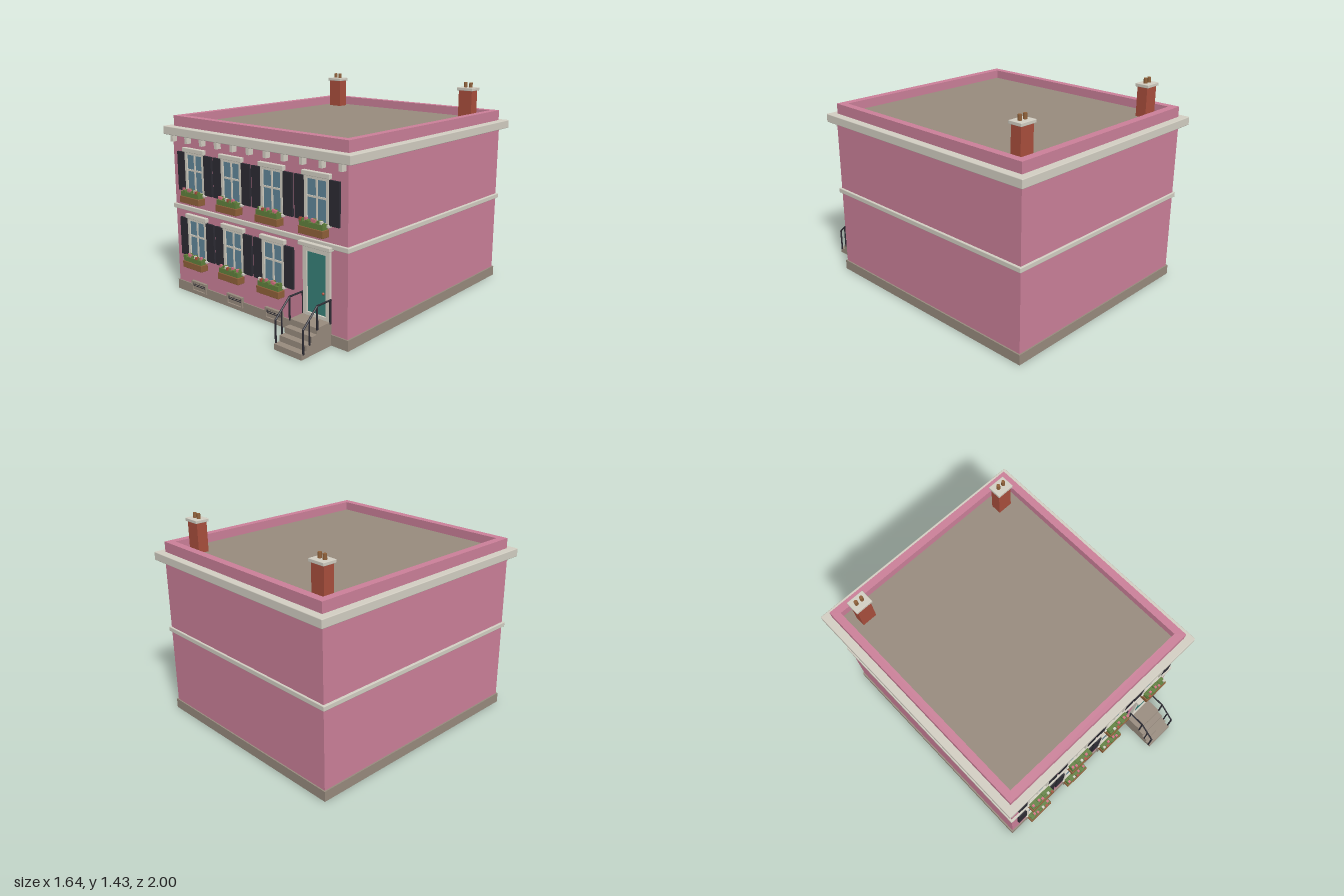
import * as THREE from 'three';
import { RoundedBoxGeometry } from 'three/addons/geometries/RoundedBoxGeometry.js';

const paint = (name, color) => {
  const m = new THREE.MeshStandardMaterial({ color });
  m.name = name;
  return m;
};
const wall = paint('pink wall', 0xca7f98);
const trim = paint('pale trim', 0xd2cec2);
const stone = paint('stone', 0x978a7d);
const brick = paint('brick', 0xa84e3c);
const dark = paint('dark iron', 0x2c2b33);
const glass = paint('glass', 0x5f8598);
const teal = paint('teal door', 0x378078);
const wood = paint('wood', 0x8f6039);
const leaf = paint('leaf green', 0x5f7f3c);
const petal = paint('petal', 0xd26f80);

const FRONT = 0.738; // z of the front wall

function add(parent, name, geo, mat, x = 0, y = 0, z = 0) {
  const mesh = new THREE.Mesh(geo, mat);
  mesh.name = name;
  mesh.position.set(x, y, z);
  parent.add(mesh);
  return mesh;
}

// box given by its extents, with an optional softened edge
function box(parent, name, mat, x0, x1, y0, y1, z0, z1, r = 0) {
  const w = x1 - x0, h = y1 - y0, d = z1 - z0;
  const geo = r ? new RoundedBoxGeometry(w, h, d, 1, r) : new THREE.BoxGeometry(w, h, d);
  return add(parent, name, geo, mat, (x0 + x1) / 2, (y0 + y1) / 2, (z0 + z1) / 2);
}

function rectPath(path, x0, x1, y0, y1) {
  return path.moveTo(x0, y0).lineTo(x1, y0).lineTo(x1, y1).lineTo(x0, y1).closePath();
}

// rectangular ring: outer and inner are [x0, x1, y0, y1]
function ring(outer, inner, depth) {
  const s = rectPath(new THREE.Shape(), ...outer);
  s.holes.push(rectPath(new THREE.Path(), ...inner));
  return new THREE.ExtrudeGeometry(s, { depth, bevelEnabled: false });
}

// round bar between two points
function bar(parent, name, mat, a, b, r) {
  const p = new THREE.Vector3(...a), q = new THREE.Vector3(...b);
  const mesh = add(parent, name, new THREE.CylinderGeometry(r, r, p.distanceTo(q), 8), mat);
  mesh.position.copy(p).add(q).multiplyScalar(0.5);
  mesh.quaternion.setFromUnitVectors(new THREE.Vector3(0, 1, 0), q.sub(p).normalize());
}

// planter, foliage and flowers; the origin is the bottom centre of the planter
function flowerBox(seed) {
  const g = new THREE.Group();
  g.name = 'flowerBox';
  box(g, 'planter', wood, -0.097, 0.097, 0, 0.046, FRONT + 0.01, 0.806, 0.003);
  box(g, 'foliage', leaf, -0.09, 0.09, 0.044, 0.078, FRONT + 0.02, 0.8);
  for (let i = 0; i < 7; i++) {
    const k = (i * 5 + seed * 3) % 7, x = -0.076 + i * 0.0253;
    const z = 0.775 + (k % 3) * 0.009;
    box(g, 'leafTuft', leaf, x - 0.012, x + 0.012, 0.07, 0.085 + (k % 4) * 0.004, z - 0.012, z + 0.012);
    if (k < 5) box(g, 'flower', [petal, petal, brick, petal, trim][k],
      x - 0.008, x + 0.008, 0.081, 0.099, z + 0.001, z + 0.017);
  }
  return g;
}

// sash window with shutters; y = 0 is the underside of the planter
function sashWindow(seed) {
  const g = new THREE.Group();
  g.name = 'window';
  box(g, 'pane', glass, -0.08, 0.08, 0.06, 0.33, FRONT, FRONT + 0.004);
  add(g, 'frame', ring([-0.095, 0.095, 0.06, 0.342], [-0.075, 0.075, 0.075, 0.322], 0.014), trim, 0, 0, FRONT);
  box(g, 'glazingBarUpright', trim, -0.006, 0.006, 0.07, 0.326, FRONT, FRONT + 0.01);
  box(g, 'glazingBarCross', trim, -0.076, 0.076, 0.211, 0.223, FRONT, FRONT + 0.01);
  box(g, 'lintel', trim, -0.108, 0.108, 0.338, 0.368, FRONT - 0.005, 0.762, 0.004);
  box(g, 'sill', trim, -0.106, 0.106, 0.055, 0.071, FRONT - 0.005, 0.765, 0.003);
  for (const s of [-1, 1])
    box(g, 'shutter', dark, s * 0.1345 - 0.0375, s * 0.1345 + 0.0375, 0.067, 0.333, FRONT - 0.004, 0.753);
  g.add(flowerBox(seed));
  return g;
}

function chimney() {
  const g = new THREE.Group();
  g.name = 'chimney';
  box(g, 'stack', brick, -0.052, 0.052, 1.17, 1.38, -0.037, 0.037);
  box(g, 'stackCap', trim, -0.062, 0.062, 1.378, 1.399, -0.049, 0.049, 0.003);
  for (const x of [-0.021, 0.021])
    add(g, 'chimneyPot', new THREE.CylinderGeometry(0.012, 0.013, 0.036, 12), wood, x, 1.415, 0);
  return g;
}

function basementVent() {
  const g = new THREE.Group();
  g.name = 'basementVent';
  add(g, 'ventSurround', ring([-0.075, 0.075, 0.03, 0.101], [-0.065, 0.065, 0.036, 0.088], 0.03), stone, 0, 0, 0.727);
  box(g, 'ventOpening', dark, -0.066, 0.066, 0.062, 0.09, 0.735, 0.749);
  for (const y of [0.071, 0.081]) box(g, 'ventBar', stone, -0.055, 0.055, y - 0.0015, y + 0.0015, 0.745, 0.752);
  return g;
}

function doorway() {
  const g = new THREE.Group();
  g.name = 'doorway';
  g.position.x = 0.542;
  box(g, 'door', teal, -0.078, 0.078, 0.16, 0.56, FRONT, FRONT + 0.006);
  add(g, 'doorFrame', ring([-0.105, 0.105, 0.15, 0.588], [-0.076, 0.076, 0.17, 0.552], 0.018), trim, 0, 0, FRONT);
  box(g, 'doorHood', trim, -0.124, 0.124, 0.585, 0.611, FRONT - 0.005, 0.779, 0.004);
  add(g, 'doorKnob', new THREE.SphereGeometry(0.009, 12, 8), brick, 0.052, 0.312, 0.75);
  return g;
}

function stoop() {
  const g = new THREE.Group();
  g.name = 'stoop';
  g.position.x = 0.541;
  // stepped blocks from the landing down
  const edges = [0.735, 0.867, 0.911, 0.955, 1.0];
  for (let i = 0; i < 4; i++)
    box(g, 'step', stone, -0.108, 0.108, 0, 0.15 - i * 0.0375, edges[i], edges[i + 1]);
  // handrails and balusters on both sides
  for (const x of [-0.109, 0.109]) {
    const top = [x, 0.288, 0.866], foot = [x, 0.18, 0.985];
    bar(g, 'handrail', dark, [x, 0.288, 0.745], top, 0.006);
    bar(g, 'handrail', dark, top, foot, 0.006);
    bar(g, 'railPost', dark, [x, 0.14, 0.752], [x, 0.288, 0.752], 0.006);
    bar(g, 'railPost', dark, [x, 0.14, 0.866], top, 0.006);
    bar(g, 'baluster', dark, [x, 0.07, 0.933], [x, 0.227, 0.933], 0.005);
    bar(g, 'railPost', dark, [x, 0.03, 0.985], foot, 0.006);
  }
  return g;
}

export function createModel() {
  const house = new THREE.Group();
  house.name = 'townHouse';

  // main volume and horizontal bands
  box(house, 'walls', wall, -0.77, 0.77, 0, 1.13, -0.951, FRONT);
  box(house, 'plinth', stone, -0.78, 0.78, 0.002, 0.07, -0.96, 0.746);
  box(house, 'beltCourse', trim, -0.786, 0.786, 0.597, 0.63, -0.964, 0.752, 0.005);
  box(house, 'cornice', trim, -0.82, 0.82, 1.11, 1.167, -1.0, 0.782, 0.005);

  // parapet around the flat roof
  const parapet = add(house, 'parapet',
    ring([-0.766, 0.766, -0.73, 0.947], [-0.715, 0.715, -0.675, 0.895], 0.077), wall, 0, 1.16, 0);
  parapet.rotation.x = -Math.PI / 2;
  box(house, 'roof', stone, -0.72, 0.72, 1.15, 1.178, -0.9, 0.68);

  // cornice brackets
  for (let i = -5; i <= 5; i++)
    box(house, 'bracket', trim, i * 0.1485 - 0.0125, i * 0.1485 + 0.0125, 1.066, 1.113, FRONT - 0.004, 0.774);

  // windows: four above, three below beside the door
  for (let col = 0; col < 4; col++) {
    const x = -0.545 + col * 0.3628;
    for (const [row, y] of [0.668, 0.209].entries()) {
      if (row === 1 && col === 3) continue;
      const w = sashWindow(col + row * 4);
      w.position.set(x, y, 0);
      house.add(w);
    }
    if (col < 3) {
      const v = basementVent();
      v.position.x = x;
      house.add(v);
    }
  }

  for (const x of [-0.603, 0.598]) {
    const c = chimney();
    c.position.set(x, 0, -0.793);
    house.add(c);
  }

  house.add(doorway(), stoop());
  return house;
}
